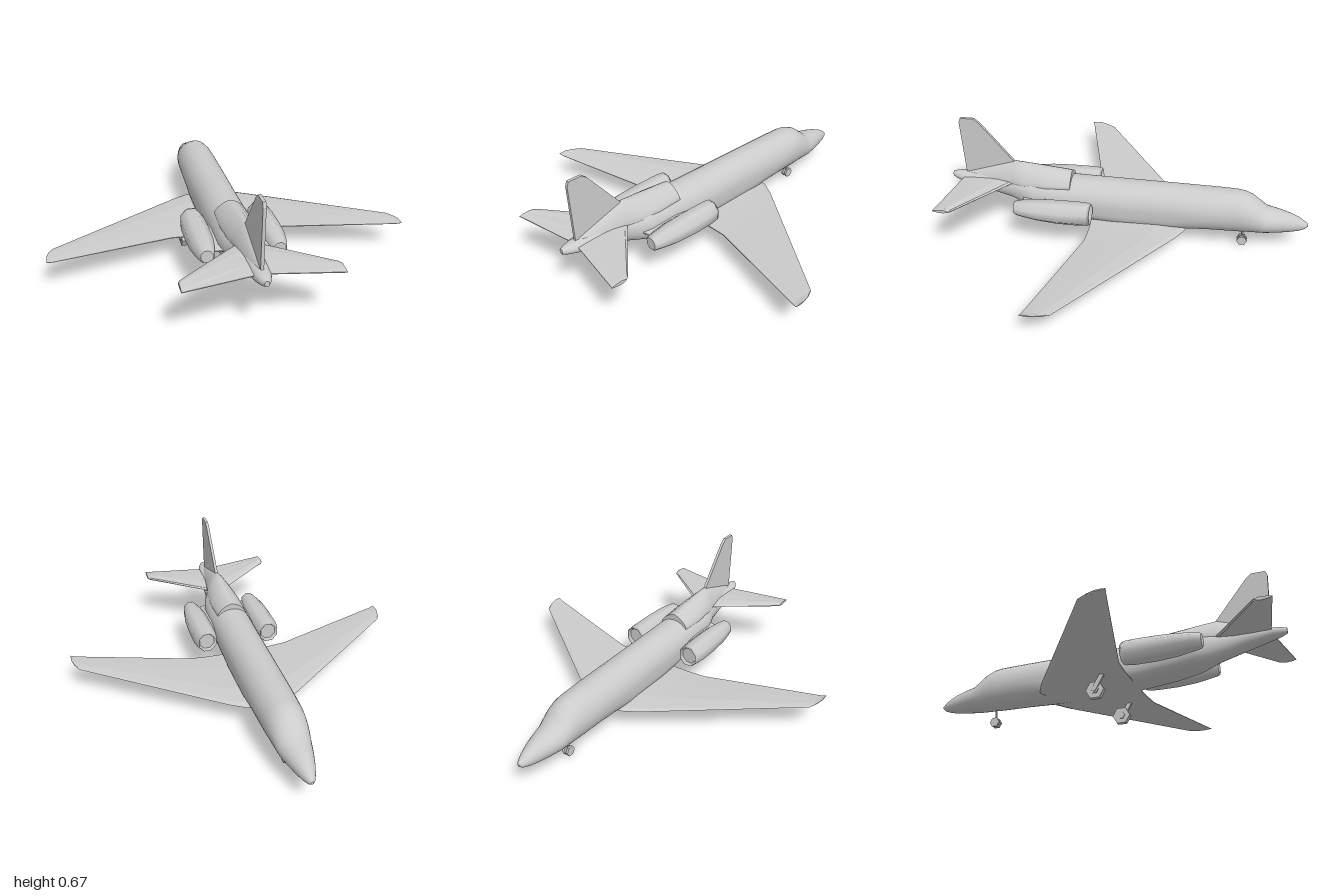
import * as THREE from 'three';

const smooth = new THREE.MeshStandardMaterial({ color: 0xcccccc, side: THREE.DoubleSide });
const flat = new THREE.MeshStandardMaterial({ color: 0xcccccc, side: THREE.DoubleSide, flatShading: true });

// Skin a list of rings (arrays of [x, y, z]) and close both ends with flat caps
function loft(rings) {
  const n = rings[0].length, last = rings.length - 1;
  const pos = rings.flat(2), index = [];
  for (let i = 0; i < last; i++) {
    for (let j = 0; j < n; j++) {
      const k = (j + 1) % n, a = i * n + j, b = i * n + k;
      index.push(a, b, a + n, b, b + n, a + n);
    }
  }
  for (const [ring, end] of [[rings[0], false], [rings[last], true]]) {
    const base = pos.length / 3;
    const centre = [0, 1, 2].map(c => ring.reduce((s, p) => s + p[c], 0) / n);
    pos.push(...ring.flat(), ...centre);
    for (let j = 0; j < n; j++) {
      const a = base + j, b = base + (j + 1) % n;
      index.push(base + n, end ? a : b, end ? b : a);
    }
  }
  const g = new THREE.BufferGeometry();
  g.setAttribute('position', new THREE.Float32BufferAttribute(pos, 3));
  g.setIndex(index);
  g.computeVertexNormals();
  return g;
}

// Superelliptic cross-section with separate roundness above and below its widest line
function section(z, bottom, top, halfWidth, { cx = 0, up = 2, low = 2, mid = 0.5, n = 28, phase = 0 } = {}) {
  const yMid = bottom + (top - bottom) * mid, ring = [];
  for (let i = 0; i < n; i++) {
    const t = (i / n) * Math.PI * 2 + phase, c = Math.cos(t), s = Math.sin(t);
    const e = 2 / (s > 0 ? up : low);
    const x = Math.sign(c) * Math.abs(c) ** e * halfWidth;
    const y = Math.sign(s) * Math.abs(s) ** e * (s > 0 ? top - yMid : yMid - bottom);
    ring.push([cx + x, yMid + y, z]);
  }
  return ring;
}

// Aerofoil panel from stations [x, leading z, trailing z, y, thickness]
function panel(stations, side) {
  const profile = [[0.3, 0.5], [0.7, 0.35], [1, 0.08], [1, -0.08], [0.7, -0.35], [0.3, -0.5], [0.06, -0.25], [0, 0], [0.06, 0.25]];
  return loft(stations.map(([x, lead, trail, y, t]) => {
    const ring = profile.map(([c, h]) => [x * side, y + h * t, lead + (trail - lead) * c]);
    return side < 0 ? ring.reverse() : ring;
  }));
}

export function createModel() {
  const model = new THREE.Group();
  const add = (name, geometry, material = smooth, parent = model) => {
    const mesh = new THREE.Mesh(geometry, material);
    mesh.name = name;
    parent.add(mesh);
    return mesh;
  };

  // Fuselage: z, bottom, top, half width, lower roundness
  add('fuselage', loft([
    [-1, 0.157, 0.172, 0.008, 2], [-0.985, 0.143, 0.185, 0.02, 2], [-0.95, 0.13, 0.207, 0.036, 2],
    [-0.9, 0.121, 0.228, 0.053, 2], [-0.84, 0.115, 0.244, 0.07, 2], [-0.77, 0.11, 0.258, 0.086, 2],
    [-0.735, 0.108, 0.287, 0.092, 2], [-0.69, 0.106, 0.323, 0.099, 2], [-0.645, 0.104, 0.342, 0.104, 2],
    [-0.6, 0.103, 0.348, 0.108, 2], [-0.48, 0.102, 0.35, 0.112, 2], [-0.36, 0.102, 0.351, 0.113, 2.3],
    [-0.25, 0.103, 0.352, 0.113, 3], [0.03, 0.11, 0.354, 0.113, 3.5], [0.2, 0.12, 0.355, 0.113, 3.3],
    [0.4, 0.14, 0.356, 0.113, 3], [0.52, 0.16, 0.355, 0.11, 2.7], [0.58, 0.175, 0.352, 0.093, 2.4],
    [0.65, 0.195, 0.35, 0.067, 2.1], [0.8, 0.237, 0.342, 0.056, 2], [0.93, 0.272, 0.335, 0.042, 2],
    [0.975, 0.284, 0.331, 0.027, 2], [1, 0.295, 0.325, 0.012, 2],
  ].map(([z, b, t, w, low]) => section(z, b, t, w, { low }))));

  // Ridge running back to the foot of the fin
  add('dorsalFairing', loft([
    [0.31, 0.3, 0.39, 0.085], [0.45, 0.29, 0.407, 0.09], [0.58, 0.28, 0.423, 0.078],
    [0.64, 0.28, 0.43, 0.062], [0.78, 0.28, 0.384, 0.045], [0.92, 0.29, 0.338, 0.025],
  ].map(([z, b, t, w]) => section(z, b, t, w, { up: 1.5, mid: 0.25, n: 20 }))));

  // Vertical fin
  const fin = new THREE.Shape([
    [0.6, 0.38], [0.64, 0.43], [0.815, 0.65], [0.845, 0.675], [0.92, 0.675], [0.93, 0.65], [0.918, 0.31], [0.7, 0.31],
  ].map(p => new THREE.Vector2(...p)));
  add('verticalFin', new THREE.ExtrudeGeometry(fin, { depth: 0.016, bevelEnabled: false })
    .translate(0, 0, -0.008).rotateY(-Math.PI / 2), flat);

  for (const side of [1, -1]) {
    const label = side > 0 ? 'left' : 'right';

    // Swept wing and tailplane
    add(label + 'Wing', panel([
      [0, -0.36, 0.19, 0.128, 0.046], [0.11, -0.33, 0.19, 0.13, 0.042], [0.19, -0.285, 0.19, 0.133, 0.034],
      [0.29, -0.214, 0.194, 0.138, 0.029], [0.915, 0.23, 0.364, 0.17, 0.013], [0.935, 0.275, 0.37, 0.174, 0.012],
      [0.945, 0.315, 0.373, 0.178, 0.008],
    ], side), flat);
    add(label + 'Tailplane', panel([
      [0, 0.595, 0.92, 0.313, 0.026], [0.37, 0.89, 0.988, 0.313, 0.026], [0.38, 0.905, 0.99, 0.313, 0.02],
    ], side), flat);

    // Engine nacelle with a recessed intake, and its pylon
    add(label + 'Engine', loft([
      [0.195, 0.19, 0.288, 0.044], [0.175, 0.181, 0.298, 0.053], [0.19, 0.175, 0.303, 0.06],
      [0.24, 0.171, 0.304, 0.067], [0.36, 0.171, 0.303, 0.068], [0.47, 0.18, 0.298, 0.064],
      [0.55, 0.193, 0.288, 0.052], [0.59, 0.2, 0.282, 0.042], [0.6, 0.207, 0.277, 0.033],
    ].map(([z, b, t, w]) => section(z, b, t, w * 1.02, { cx: 0.184 * side, n: 8, phase: Math.PI / 8 }))));
    add(label + 'Pylon', panel([[0.05, 0.28, 0.58, 0.25, 0.035], [0.17, 0.28, 0.56, 0.245, 0.035]], side), flat);

    // Main landing gear
    const gear = new THREE.Group();
    gear.name = label + 'MainGear';
    gear.position.set(0.2 * side, 0.047, 0.032);
    model.add(gear);
    add('wheel', new THREE.CylinderGeometry(0.05, 0.05, 0.028, 6).rotateZ(Math.PI / 2), flat, gear);
    add('hub', new THREE.CylinderGeometry(0.022, 0.022, 0.04, 6).rotateZ(Math.PI / 2), flat, gear);
    const strut = add('strut', new THREE.BoxGeometry(0.014, 0.1, 0.024), flat, gear);
    strut.position.set(0.016 * side, 0.036, 0.018);
    strut.rotation.x = 0.5;
  }

  // Twin-wheel nose gear
  const nose = new THREE.Group();
  nose.name = 'noseGear';
  nose.position.set(0, 0.028, -0.65);
  model.add(nose);
  for (const side of [1, -1]) {
    add('wheel', new THREE.CylinderGeometry(0.029, 0.029, 0.012, 6).rotateZ(Math.PI / 2), flat, nose)
      .position.x = 0.012 * side;
  }
  add('axle', new THREE.CylinderGeometry(0.008, 0.008, 0.024, 6).rotateZ(Math.PI / 2), flat, nose);
  add('strut', new THREE.CylinderGeometry(0.006, 0.006, 0.1, 6), flat, nose).position.y = 0.05;

  return model;
}
